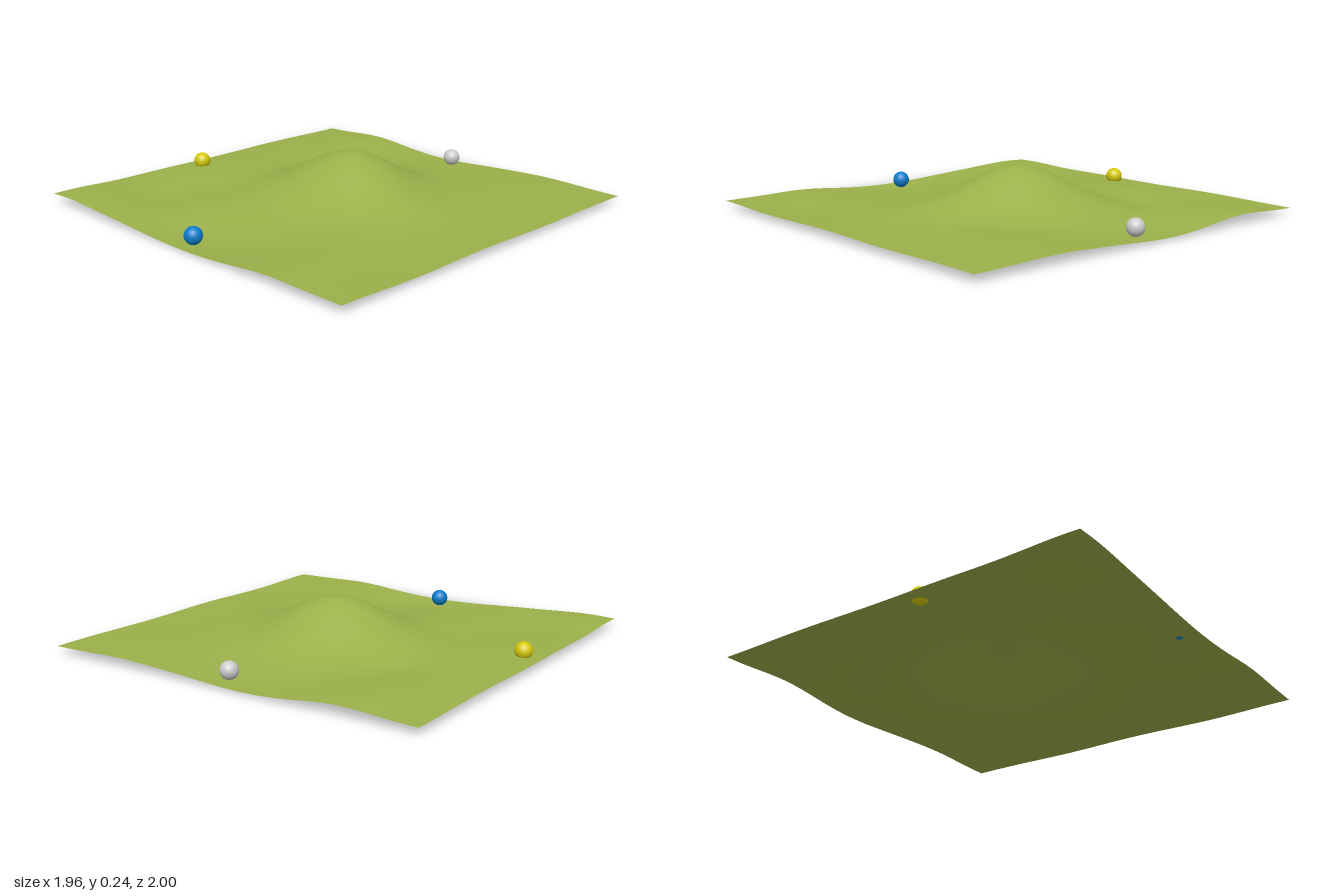
import * as THREE from 'three';

// Each swell: x, z, height, spread in x, spread in z
const SWELLS = [
  [0.1, 0, 0.21, 0.23, 0.255],      // central hill
  [0.0, 0.45, 0.014, 0.15, 0.13],   // shoulder at its front
  [-0.8, 0.05, -0.034, 0.22, 0.28], // hollow on the right side
  [0.92, -0.12, -0.022, 0.2, 0.25], // hollow on the left side
  [0.35, -0.5, -0.016, 0.22, 0.12],
  [-0.2, -0.48, -0.012, 0.2, 0.12],
  [0.1, -0.78, 0.012, 0.28, 0.15],
  [-0.88, -0.88, 0.018, 0.18, 0.16],
  [-0.6, -0.68, -0.012, 0.14, 0.14],
  [0.85, -0.62, 0.022, 0.22, 0.17],
  [-0.85, 0.55, 0.016, 0.2, 0.16],
  [-0.62, 0.8, -0.008, 0.18, 0.14],
  [0.8, 0.6, 0.018, 0.24, 0.18],
  [0.3, 0.32, -0.015, 0.18, 0.14],
  [-0.5, -0.25, 0.012, 0.16, 0.18]
];

function heightAt(x, z) {
  let y = 0.043 + 0.003 * Math.sin(7 * x + 2 * z) * Math.cos(6 * z - x);
  for (const [cx, cz, h, sx, sz] of SWELLS) {
    y += h * Math.exp(-(((x - cx) / sx) ** 2 + ((z - cz) / sz) ** 2) / 2);
  }
  return Math.max(0, y);
}

export function createModel() {
  const model = new THREE.Group();

  // Rolling ground sheet with one hill
  const sheet = new THREE.PlaneGeometry(1.96, 2, 70, 70).rotateX(-Math.PI / 2);
  const pos = sheet.attributes.position;
  for (let i = 0; i < pos.count; i++) {
    pos.setY(i, heightAt(pos.getX(i), pos.getZ(i)));
  }
  sheet.computeVertexNormals();
  const ground = new THREE.Mesh(sheet, new THREE.MeshStandardMaterial({
    color: 0x9bb04a, side: THREE.DoubleSide
  }));
  ground.name = 'ground';
  model.add(ground);

  // Marker balls near three of the edges
  const ballShape = new THREE.SphereGeometry(0.043, 32, 20);
  const balls = [
    ['blueBall', 0x0d7ecb, -0.885, 0.053, -0.015],
    ['greyBall', 0xcccccc, 0.89, 0.073, 0.012],
    ['yellowBall', 0xd4c80a, -0.113, 0.073, -0.905]
  ];
  for (const [name, color, x, y, z] of balls) {
    const ball = new THREE.Mesh(ballShape, new THREE.MeshStandardMaterial({ color }));
    ball.name = name;
    ball.position.set(x, y, z);
    model.add(ball);
  }
  return model;
}
